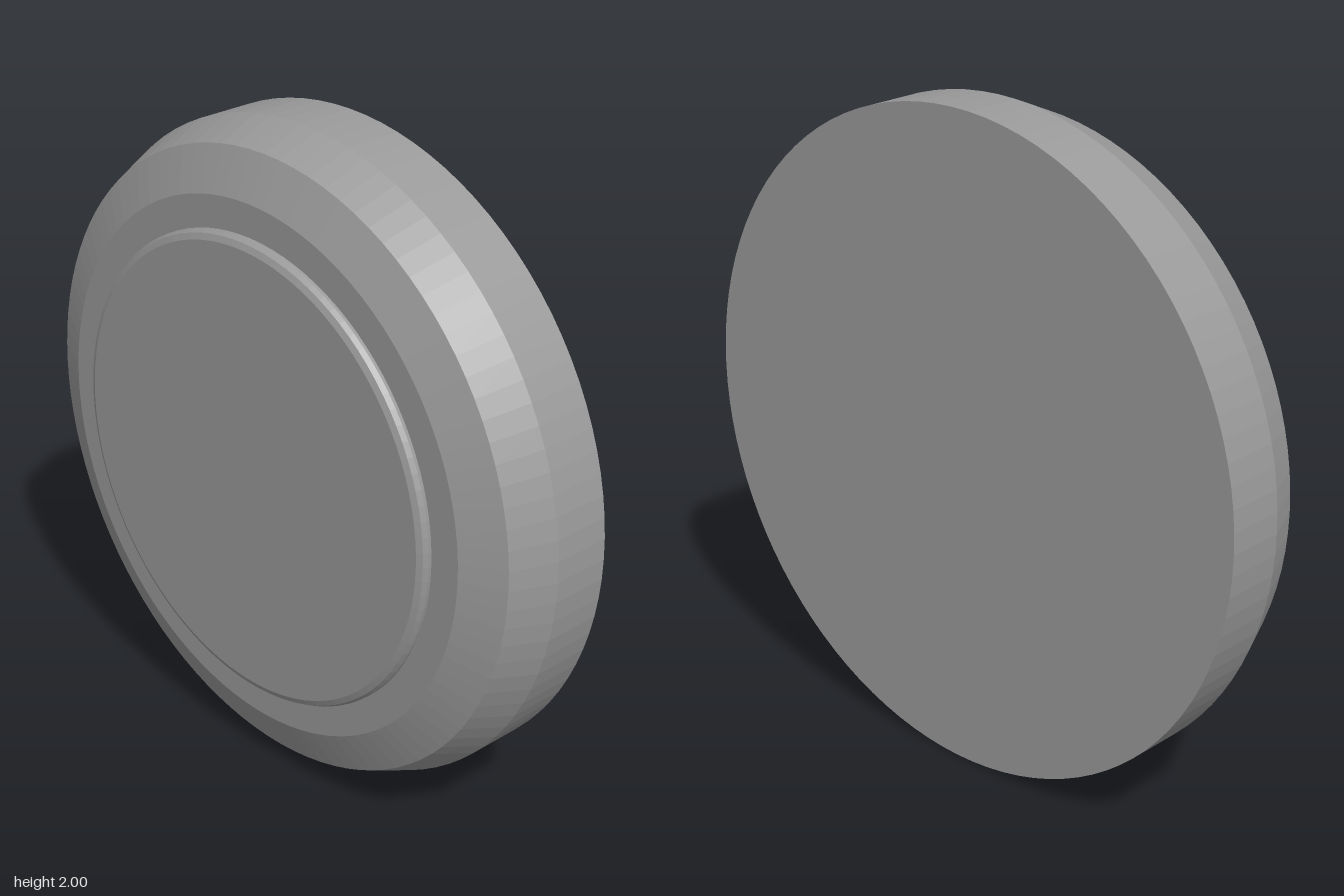
import * as THREE from 'three';

const SIDES = 100;

// Revolves [radius, z] pairs (back to front) around the z axis at mid height.
function turned(name, profile) {
  const points = profile.map(([r, z]) => new THREE.Vector2(r, z));
  const geometry = new THREE.LatheGeometry(points, SIDES);
  geometry.rotateX(Math.PI / 2);
  const material = new THREE.MeshStandardMaterial({ color: 0x9a9a9a, flatShading: true });
  const mesh = new THREE.Mesh(geometry, material);
  mesh.name = name;
  mesh.position.y = 1;
  return mesh;
}

export function createModel() {
  const group = new THREE.Group();
  group.name = 'roundButton';

  // Body: flat back, straight rim, two chamfers to a flat front
  group.add(turned('body', [
    [0, -0.2], [1, -0.2], [1, -0.017], [0.945, 0.113], [0.815, 0.168], [0, 0.168],
  ]));

  // Raised disc with a softened front edge
  group.add(turned('raisedDisc', [
    [0.718, 0.16], [0.718, 0.178], [0.71, 0.192], [0.692, 0.2], [0, 0.2],
  ]));

  return group;
}
